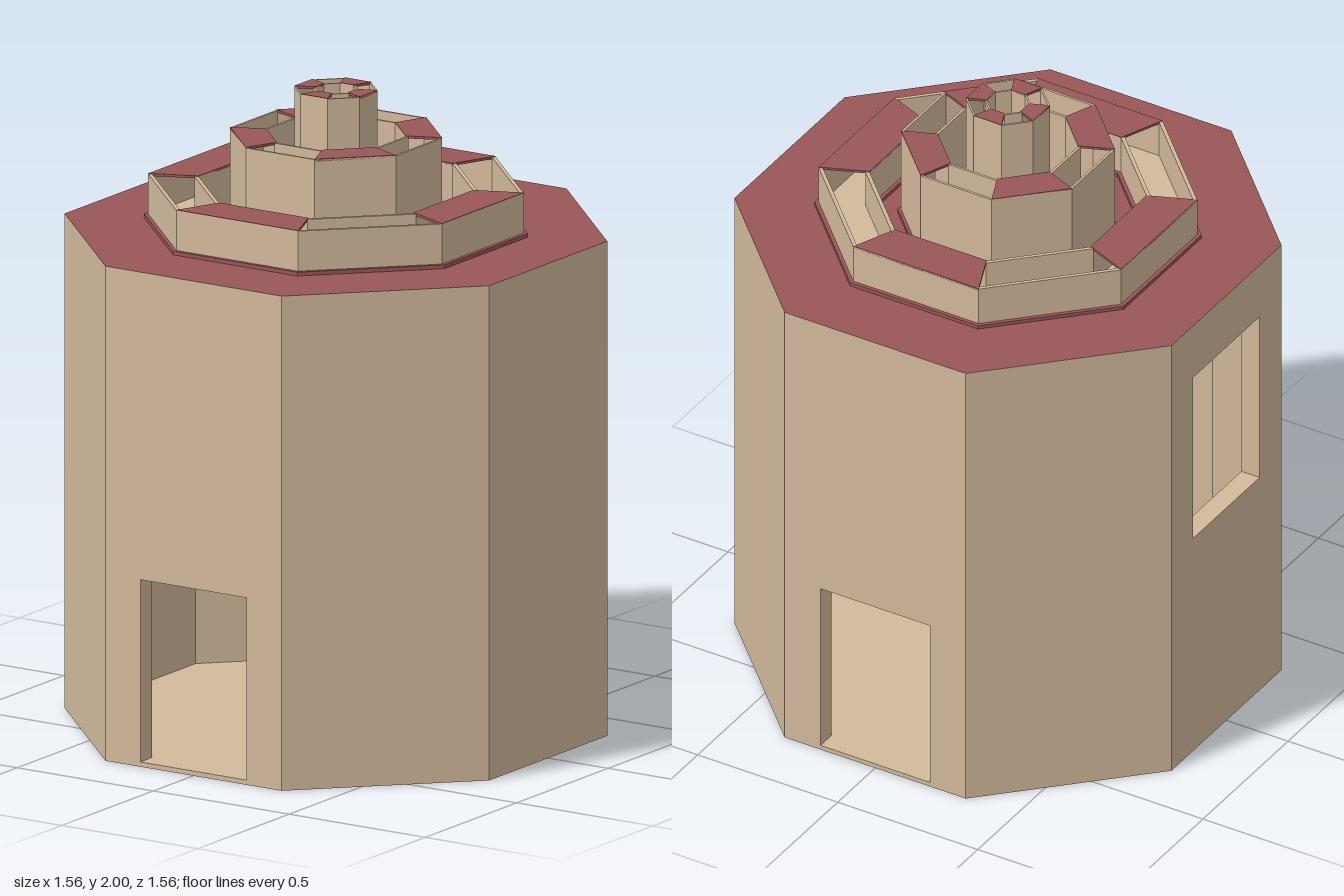
import * as THREE from 'three';

const tan = new THREE.MeshStandardMaterial({ color: 0xd2b99b, flatShading: true });
const red = new THREE.MeshStandardMaterial({ color: 0x985656, flatShading: true });
const T = Math.tan(Math.PI / 8);

// Octagon corners for a distance r from the centre to each side
function octagon(r) {
  const R = r / Math.cos(Math.PI / 8);
  return Array.from({ length: 8 }, (_, i) => {
    const a = (i + 0.5) * Math.PI / 4;
    return new THREE.Vector2(R * Math.cos(a), R * Math.sin(a));
  });
}

// Flat shape raised from y0 to y1
function slab(name, shape, y0, y1, material) {
  const g = new THREE.ExtrudeGeometry(shape, { depth: y1 - y0, bevelEnabled: false });
  g.rotateX(-Math.PI / 2).translate(0, y0, 0);
  const m = new THREE.Mesh(g, material);
  m.name = name;
  return m;
}

function octSlab(name, rOut, rIn, y0, y1, material) {
  const shape = new THREE.Shape(octagon(rOut));
  if (rIn) shape.holes.push(new THREE.Path(octagon(rIn)));
  return slab(name, shape, y0, y1, material);
}

function rectPath(Type, x, y0, y1) {
  return new Type([[-x, y0], [x, y0], [x, y1], [-x, y1]].map(p => new THREE.Vector2(...p)));
}

export function createModel() {
  const model = new THREE.Group();
  model.name = 'octagonalTower';
  const R = 0.78, H = 1.56, wall = 0.065;

  // Eight wall panels: doors in front (0) and back (4), a window on the -x side (6)
  const openings = { 0: [0.015, 0.59], 4: [0.015, 0.59], 6: [0.78, 1.37] };
  for (let i = 0; i < 8; i++) {
    const shape = rectPath(THREE.Shape, R * T, 0, H - 0.004);
    if (openings[i]) shape.holes.push(rectPath(THREE.Path, 0.195, ...openings[i]));
    const g = new THREE.ExtrudeGeometry(shape, { depth: wall, bevelEnabled: false });
    g.translate(0, 0, R - wall).rotateY(i * Math.PI / 4);
    const m = new THREE.Mesh(g, tan);
    m.name = openings[i] ? (i === 6 ? 'windowWall' : 'doorWall') : 'wall';
    model.add(m);
  }

  // Floor, ceiling and roof deck
  model.add(octSlab('floor', R - 0.002, 0, 0, 0.015, tan));
  model.add(octSlab('ceiling', R - wall, 0, H - 0.07, H - 0.004, tan));
  model.add(octSlab('roofDeck', R, 0, H - 0.004, H, [red, tan]));

  // Three hollow ring tiers, with roof panels on every other side
  const tiers = [
    { rOut: 0.54, rIn: 0.395, top: 1.7, t: 0.012, lip: 0.012, first: 0 },
    { rOut: 0.305, rIn: 0.2, top: 1.86, t: 0.008, lip: 0.01, first: 1 },
    { rOut: 0.12, rIn: 0.06, top: 2, t: 0.006, lip: 0.012, first: 0 },
  ];
  for (const { rOut, rIn, top, t, lip, first } of tiers) {
    const tier = new THREE.Group();
    tier.name = 'roofTier';
    tier.add(octSlab('plinth', rOut + lip, rIn - lip, H, H + 0.012, red));
    tier.add(octSlab('outerRing', rOut, rOut - t, H, top - 0.002, tan));
    tier.add(octSlab('innerRing', rIn + t, rIn, H, top - 0.002, tan));
    tier.add(octSlab('cellFloor', rOut - t, rIn + t, H, H + 0.016, tan));
    for (let i = first; i < 8; i += 2) {
      const panel = new THREE.Shape([[-rIn * T, -rIn], [-rOut * T, -rOut], [rOut * T, -rOut], [rIn * T, -rIn]]
        .map(p => new THREE.Vector2(...p)));
      const m = slab('roofPanel', panel, top - 0.008, top, red);
      m.rotation.y = i * Math.PI / 4;
      tier.add(m);
    }
    model.add(tier);
  }
  return model;
}
